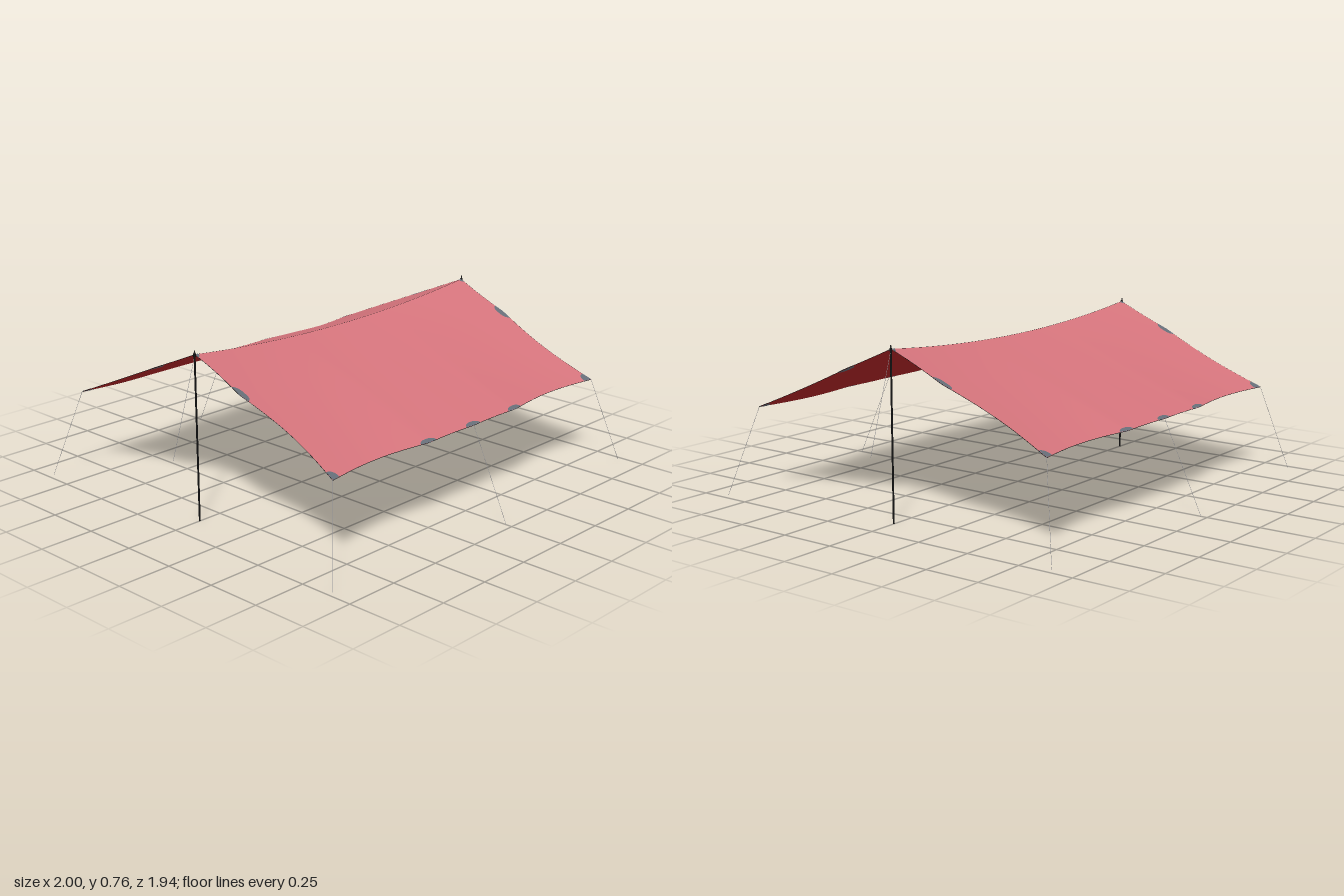
import * as THREE from 'three';

const HALF_X = 0.863, HALF_Z = 0.782, EAVE_Y = 0.4;
const ANCHOR_U = 0.335, ANCHOR_V = 0.335;

// Inward bow of a scalloped edge: shallow near the middle, deep near the corner
function scallop(t, anchor, shallow, deep) {
  t = Math.abs(t);
  return t < anchor
    ? shallow * Math.sin(Math.PI * t / anchor)
    : deep * Math.sin(Math.PI * (t - anchor) / (1 - anchor));
}

// Canopy surface: u runs along the ridge (-1..1), v from ridge (0) to eave (1)
function canopyPoint(u, v, side, lift = 0) {
  const ridgeY = 0.69 + 0.05 * u * u;
  return new THREE.Vector3(
    u * (HALF_X - scallop(v, ANCHOR_V, 0.006, 0.028)),
    ridgeY + (EAVE_Y - ridgeY) * v + 0.92 * lift,
    side * (v * (HALF_Z - scallop(u, ANCHOR_U, 0.005, 0.03)) + 0.4 * lift * v)
  );
}

// Grid of points fn(s, t), s and t in 0..1
function sheet(fn, ns, nt, flip) {
  const pos = [], index = [];
  for (let j = 0; j <= nt; j++)
    for (let i = 0; i <= ns; i++) pos.push(...fn(i / ns, j / nt).toArray());
  for (let j = 0; j < nt; j++)
    for (let i = 0; i < ns; i++) {
      const a = j * (ns + 1) + i, b = a + 1, c = a + ns + 1, d = c + 1;
      index.push(...(flip ? [a, b, c, b, d, c] : [a, c, b, b, c, d]));
    }
  const g = new THREE.BufferGeometry();
  g.setAttribute('position', new THREE.Float32BufferAttribute(pos, 3));
  g.setIndex(index);
  g.computeVertexNormals();
  return g;
}

export function createModel() {
  const model = new THREE.Group();
  model.name = 'tarpShelter';

  const material = (name, color) => {
    const m = new THREE.MeshStandardMaterial({ color, side: THREE.DoubleSide });
    m.name = name;
    return m;
  };
  const outer = material('roseFabric', 0xd5747c);
  const inner = material('redLining', 0xb52427);
  const grey = material('greyReinforcement', 0x666e78);
  const black = material('black', 0x0c0c0c);
  const cord = material('greyCord', 0x88888c);

  const add = (name, geometry, mat) => {
    const mesh = new THREE.Mesh(geometry, mat);
    mesh.name = name;
    model.add(mesh);
    return mesh;
  };

  // Thin rod between two points
  const rod = (name, a, b, radius, mat) => {
    const dir = b.clone().sub(a);
    const mesh = add(name, new THREE.CylinderGeometry(radius, radius, dir.length(), 8), mat);
    mesh.position.copy(a).add(b).multiplyScalar(0.5);
    mesh.quaternion.setFromUnitVectors(new THREE.Vector3(0, 1, 0), dir.normalize());
  };

  // Thin hem following a line on the canopy
  const hem = (name, fn) => {
    const pts = Array.from({ length: 41 }, (_, i) => fn(i / 40));
    add(name, new THREE.TubeGeometry(new THREE.CatmullRomCurve3(pts), 80, 0.001, 5), black);
  };

  // Rounded reinforcement on both faces, centred on an edge anchor
  const patch = (u, v, du, dv, side) => {
    let a0 = v === 0 ? 0 : Math.PI, a1 = a0 + Math.PI;
    if (Math.abs(u) === 1) {
      a0 = v === 0 ? 0 : -Math.PI / 2;
      a1 = v === 1 ? 0 : Math.PI / 2;
    }
    const mirror = u === 1 ? -1 : 1;
    for (const lift of [0.002, -0.002])
      add('reinforcementPatch', sheet((s, t) => {
        const a = a0 + (a1 - a0) * t;
        return canopyPoint(u + mirror * s * du * Math.cos(a), v + s * dv * Math.sin(a), side, lift);
      }, 5, 14, (mirror * side * lift > 0)), grey);
  };

  for (const side of [1, -1]) {
    // Sloping panels with a lining just below
    const panel = lift => (s, t) => canopyPoint(s * 2 - 1, t, side, lift);
    add('roofPanel', sheet(panel(0.0007), 80, 40, side < 0), outer);
    add('roofLining', sheet(panel(-0.0007), 80, 40, side > 0), inner);

    // Eave hem and its anchor patches
    hem('eaveHem', t => canopyPoint(t * 2 - 1, 1, side));
    for (const u of [-ANCHOR_U, 0, ANCHOR_U]) patch(u, 1, 0.052, 0.028, side);

    // Middle guy line
    rod('eaveGuyLine', canopyPoint(0, 1, side), new THREE.Vector3(0, 0, side * 0.97), 0.0008, cord);

    for (const u of [1, -1]) {
      hem('sideHem', t => canopyPoint(u, t, side));
      patch(u, ANCHOR_V, 0.035, 0.058, side);
      patch(u, 1, 0.05, 0.055, side);
      patch(u, 0, 0.02, 0.025, side);
      // Corner guy line
      rod('cornerGuyLine', canopyPoint(u, 1, side),
        new THREE.Vector3(u * 0.972, 0, side * 0.885), 0.0008, cord);
    }
  }

  // Ridge seam
  hem('ridgeSeam', t => canopyPoint(t * 2 - 1, 0, 1));

  // End poles with pointed tips, and ridge guy lines
  for (const u of [1, -1]) {
    const x = u * 0.865;
    rod('pole', new THREE.Vector3(x, 0, 0), new THREE.Vector3(x, 0.74, 0), 0.004, black);
    add('poleCollar', new THREE.CylinderGeometry(0.006, 0.006, 0.014, 10), black).position.set(x, 0.737, 0);
    add('poleTip', new THREE.CylinderGeometry(0.002, 0.004, 0.014, 8), black).position.set(x, 0.75, 0);
    rod('ridgeGuyLine', new THREE.Vector3(x, 0.735, 0), new THREE.Vector3(u * 0.999, 0.31, 0), 0.0008, cord);
  }

  return model;
}
